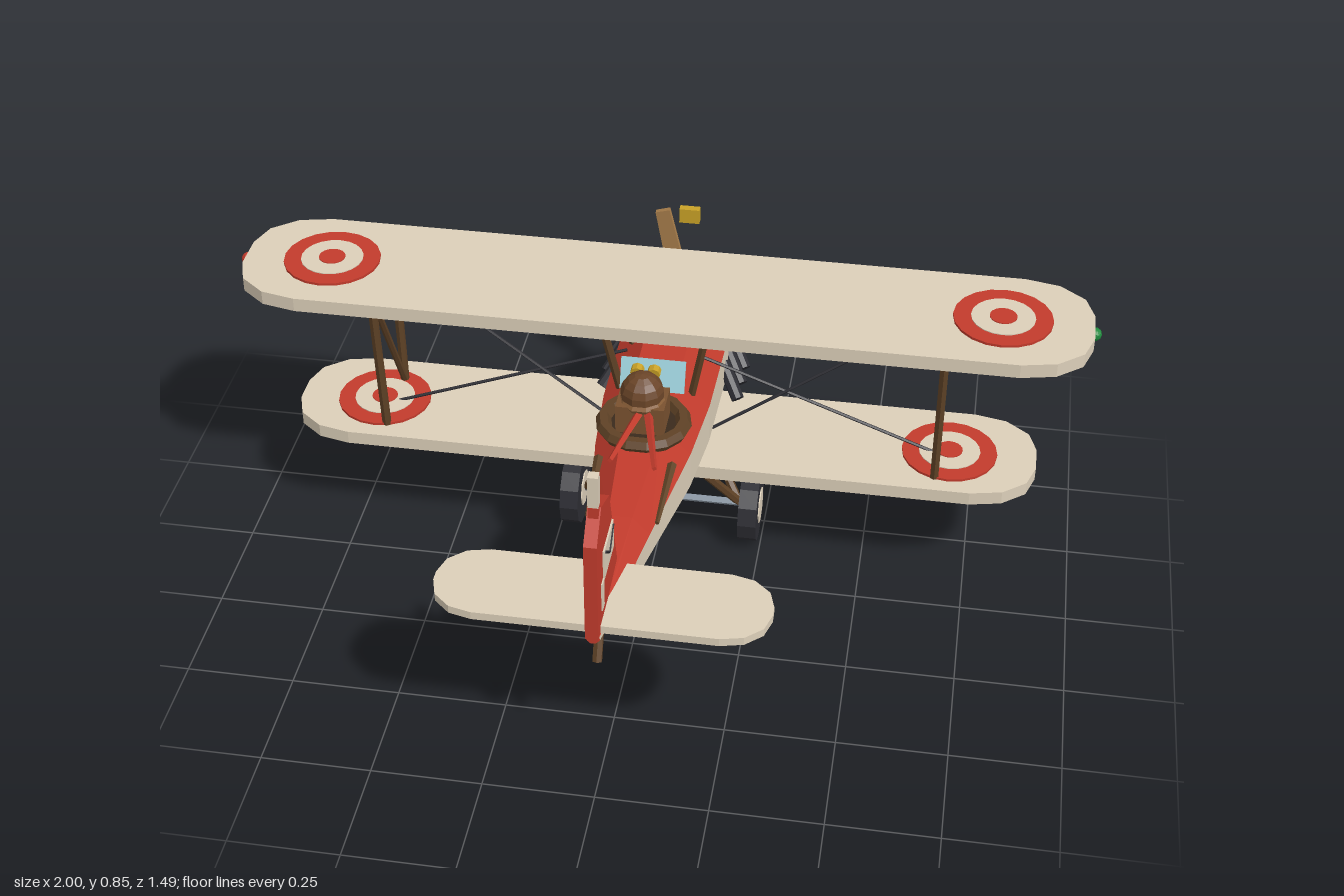
import * as THREE from 'three';

const RED = 0xc23b2c, CREAM = 0xdccfb9, BROWN = 0x5f4226, DARK = 0x2e2e34, STEEL = 0x8d99a6, GOLD = 0xc9a227, WOOD = 0xa67c4a;

export function createModel() {
  const root = new THREE.Group();
  const mats = {};
  const mat = (color) => (mats[color] ??= new THREE.MeshStandardMaterial({ color, flatShading: true, side: THREE.DoubleSide }));

  const add = (name, geo, color, x = 0, y = 0, z = 0) => {
    const m = new THREE.Mesh(geo, mat(color));
    m.name = name;
    m.position.set(x, y, z);
    root.add(m);
    return m;
  };
  const box = (name, w, h, d, color, x, y, z) => add(name, new THREE.BoxGeometry(w, h, d), color, x, y, z);

  // Round bar between two points
  const rod = (name, a, b, r, color, sides = 6, r2 = r) => {
    const p = new THREE.Vector3(...a), q = new THREE.Vector3(...b);
    const dir = q.clone().sub(p);
    const m = add(name, new THREE.CylinderGeometry(r2, r, dir.length(), sides), color);
    m.position.copy(p).add(q).multiplyScalar(0.5);
    m.quaternion.setFromUnitVectors(new THREE.Vector3(0, 1, 0), dir.normalize());
    return m;
  };

  // Skin of eight-sided rings; each station is [z, bottom, top, half width]
  const SIDES = [3, 7], ALL = [0, 1, 2, 3, 4, 5, 6, 7];
  const loft = (name, stations, faces, color, capped = false) => {
    const pos = [];
    const point = ([z, lo, hi, w], i) => {
      const a = Math.PI * (0.125 + i / 4), k = 1 / Math.cos(Math.PI / 8);
      return [w * k * Math.cos(a), (lo + hi) / 2 + ((hi - lo) / 2) * k * Math.sin(a), z];
    };
    for (let s = 0; s + 1 < stations.length; s++) {
      for (const i of faces) {
        const [a, b, c, d] = [point(stations[s], i), point(stations[s + 1], i), point(stations[s + 1], i + 1), point(stations[s], i + 1)];
        pos.push(...a, ...b, ...c, ...a, ...c, ...d);
      }
    }
    if (capped) {
      const first = stations[0], last = stations[stations.length - 1];
      for (let i = 1; i < 7; i++) {
        pos.push(...point(first, 0), ...point(first, i), ...point(first, i + 1));
        pos.push(...point(last, 0), ...point(last, i + 1), ...point(last, i));
      }
    }
    const g = new THREE.BufferGeometry();
    g.setAttribute('position', new THREE.Float32BufferAttribute(pos, 3));
    g.computeVertexNormals();
    return add(name, g, color);
  };

  // Flat plate with rounded tips
  const plate = (name, halfX, z0, z1, top, thick, rx, rz) => {
    const pts = [], cz = (z0 + z1) / 2, hz = (z1 - z0) / 2;
    for (let q = 0; q < 4; q++) {
      for (let s = 0; s <= 3; s++) {
        const a = (q + s / 3) * Math.PI / 2;
        const sx = q === 0 || q === 3 ? 1 : -1, sz = q < 2 ? 1 : -1;
        pts.push(new THREE.Vector2(sx * (halfX - rx) + rx * Math.cos(a), cz + sz * (hz - rz) + rz * Math.sin(a)));
      }
    }
    const g = new THREE.ExtrudeGeometry(new THREE.Shape(pts), { depth: thick, bevelEnabled: false });
    g.rotateX(Math.PI / 2);
    return add(name, g, CREAM, 0, top, 0);
  };

  // Fuselage: red skin with a cream band along each side
  const rear = [[0.73, 0.434, 0.46, 0.014], [0.4, 0.362, 0.503, 0.065], [0.1, 0.3, 0.523, 0.11], [-0.1, 0.276, 0.525, 0.126], [-0.41, 0.258, 0.516, 0.13]];
  const noseEnd = [-0.575, 0.26, 0.505, 0.124];
  loft('fuselage', rear, ALL.filter((i) => !SIDES.includes(i)), RED);
  loft('sideBand', rear, SIDES, CREAM);
  loft('tailEnd', [[0.735, 0.436, 0.458, 0.012], rear[0]], ALL, RED, true);
  loft('enginePanels', [rear[4], noseEnd], ALL, RED);
  loft('cowling', [noseEnd, [-0.615, 0.28, 0.487, 0.105]], ALL, STEEL, true);

  // Spinner and propeller
  const spinner = add('spinner', new THREE.ConeGeometry(0.068, 0.125, 8), RED, 0, 0.382, -0.6775);
  spinner.rotation.x = -Math.PI / 2;
  for (const s of [1, -1]) {
    const blade = new THREE.Shape([[-0.012, 0], [-0.06, 0.13], [-0.085, 0.265], [-0.05, 0.275], [-0.015, 0.13], [0.015, 0]].map(([x, y]) => new THREE.Vector2(x, y * s)));
    add('propellerBlade', new THREE.ExtrudeGeometry(blade, { depth: 0.014, bevelEnabled: false }), WOOD, 0, 0.382, -0.63);
    box('propellerTip', 0.05, 0.038, 0.02, GOLD, 0, 0.382 + s * 0.263, -0.623);
  }

  // Wings and tailplane
  plate('upperWing', 0.985, -0.345, 0.005, 0.72, 0.034, 0.16, 0.13);
  plate('lowerWing', 0.895, -0.362, -0.05, 0.308, 0.033, 0.15, 0.12);
  plate('tailplane', 0.36, 0.515, 0.72, 0.472, 0.019, 0.1, 0.09);

  const roundel = (x, y, z) => {
    [[0.113, RED], [0.073, CREAM], [0.031, RED]].forEach(([r, c], i) =>
      add('wingRoundel', new THREE.CylinderGeometry(r, r, 0.006 + i * 0.002, 20), c, x, y + 0.003 + i * 0.001, z));
  };

  // Everything mirrored left and right
  for (const s of [1, -1]) {
    roundel(s * 0.78, 0.72, -0.17);
    roundel(s * 0.69, 0.308, -0.2);
    add('wingTipLight', new THREE.IcosahedronGeometry(0.016, 1), s > 0 ? 0x1e8a3c : RED, s * 0.986, 0.702, -0.17);

    // Struts between the wings, with a diagonal, and the centre struts
    rod('wingStrut', [s * 0.66, 0.3, -0.1], [s * 0.66, 0.69, -0.06], 0.011, BROWN);
    rod('wingStrut', [s * 0.66, 0.3, -0.28], [s * 0.66, 0.69, -0.26], 0.011, BROWN);
    rod('diagonalStrut', [s * 0.66, 0.31, -0.28], [s * 0.66, 0.685, -0.07], 0.008, BROWN);
    rod('centreStrut', [s * 0.085, 0.49, -0.09], [s * 0.122, 0.69, -0.06], 0.01, BROWN);
    rod('centreStrut', [s * 0.085, 0.49, -0.275], [s * 0.122, 0.69, -0.26], 0.01, BROWN);
    rod('braceWire', [s * 0.66, 0.685, -0.24], [s * 0.12, 0.32, -0.19], 0.004, DARK, 5);
    rod('braceWire', [s * 0.66, 0.31, -0.19], [s * 0.09, 0.505, -0.22], 0.004, DARK, 5);

    // Landing gear
    const tire = add('tire', new THREE.CylinderGeometry(0.09, 0.09, 0.045, 12), DARK, s * 0.22, 0.09, -0.2);
    const hub = add('wheelHub', new THREE.CylinderGeometry(0.045, 0.045, 0.051, 8), CREAM, s * 0.22, 0.09, -0.2);
    tire.rotation.z = hub.rotation.z = Math.PI / 2;
    rod('gearLeg', [s * 0.19, 0.095, -0.2], [s * 0.07, 0.29, -0.1], 0.011, BROWN);
    rod('gearLeg', [s * 0.19, 0.095, -0.2], [s * 0.07, 0.29, -0.295], 0.011, BROWN);

    // Exhaust pipes
    for (let i = 0; i < 3; i++) {
      const z = -0.31 - i * 0.065;
      rod('exhaustPipe', [s * 0.168, 0.325, z], [s * 0.122, 0.388, z - 0.06], 0.016, DARK, 8);
    }

    // Tapered rail beside the cockpit
    rod('sideRail', [s * 0.077, 0.475, 0.375], [s * 0.083, 0.502, 0.2], 0.005, BROWN, 5, 0.011);

    // Cream panel with fold lines on the fin
    box('finPanel', 0.004, 0.072, 0.108, CREAM, s * 0.016, 0.605, 0.63);
    rod('panelFold', [s * 0.018, 0.635, 0.676], [s * 0.018, 0.597, 0.63], 0.003, DARK, 4);
    rod('panelFold', [s * 0.018, 0.635, 0.584], [s * 0.018, 0.597, 0.63], 0.003, DARK, 4);
  }
  rod('axle', [-0.2, 0.092, -0.2], [0.2, 0.092, -0.2], 0.009, STEEL);
  rod('tailSkid', [0, 0.43, 0.65], [0, 0.345, 0.69], 0.011, BROWN);

  // Fin and banded post
  const fin = new THREE.Shape([[0.745, 0.455], [0.745, 0.7], [0.69, 0.762], [0.6, 0.722], [0.523, 0.5], [0.523, 0.47]].map(([z, y]) => new THREE.Vector2(-z, y)));
  const finGeo = new THREE.ExtrudeGeometry(fin, { depth: 0.028, bevelEnabled: false });
  finGeo.translate(0, 0, -0.014).rotateY(Math.PI / 2);
  add('tailFin', finGeo, RED);
  box('finPostTop', 0.022, 0.075, 0.022, CREAM, 0, 0.808, 0.695);
  box('finPostMiddle', 0.022, 0.2, 0.022, RED, 0, 0.67, 0.695);
  box('finPostBase', 0.034, 0.07, 0.022, CREAM, 0, 0.537, 0.695);

  // Cockpit
  const rim = add('cockpitRim', new THREE.TorusGeometry(0.092, 0.018, 6, 14), BROWN, 0, 0.528, 0.085);
  rim.rotation.x = Math.PI / 2;
  add('cockpitFloor', new THREE.CylinderGeometry(0.09, 0.09, 0.012, 14), 0x3a2a1c, 0, 0.522, 0.085);
  const screen = box('windscreen', 0.15, 0.075, 0.006, 0x9ccfda, 0, 0.565, -0.045);
  screen.rotation.x = -0.38;

  // Pilot
  box('pilotTorso', 0.11, 0.07, 0.09, 0x7a5230, 0, 0.57, 0.098);
  add('pilotHead', new THREE.SphereGeometry(0.042, 10, 7), 0xb98a5e, 0, 0.625, 0.1);
  add('pilotHelmet', new THREE.SphereGeometry(0.05, 10, 5, 0, Math.PI * 2, 0, Math.PI * 0.55), 0x6b4528, 0, 0.622, 0.103);
  const collar = add('pilotCollar', new THREE.TorusGeometry(0.042, 0.011, 6, 10), 0x8a5f38, 0, 0.602, 0.1);
  collar.rotation.x = Math.PI / 2;
  for (const s of [1, -1]) rod('goggleLens', [s * 0.019, 0.645, 0.065], [s * 0.019, 0.647, 0.046], 0.015, GOLD, 8);

  // Streaming scarf tails
  rod('scarfTail', [0.015, 0.59, 0.12], [0.062, 0.58, 0.32], 0.011, RED, 4, 0.006);
  rod('scarfTail', [0, 0.585, 0.12], [-0.032, 0.607, 0.34], 0.011, RED, 4, 0.006);

  return root;
}
